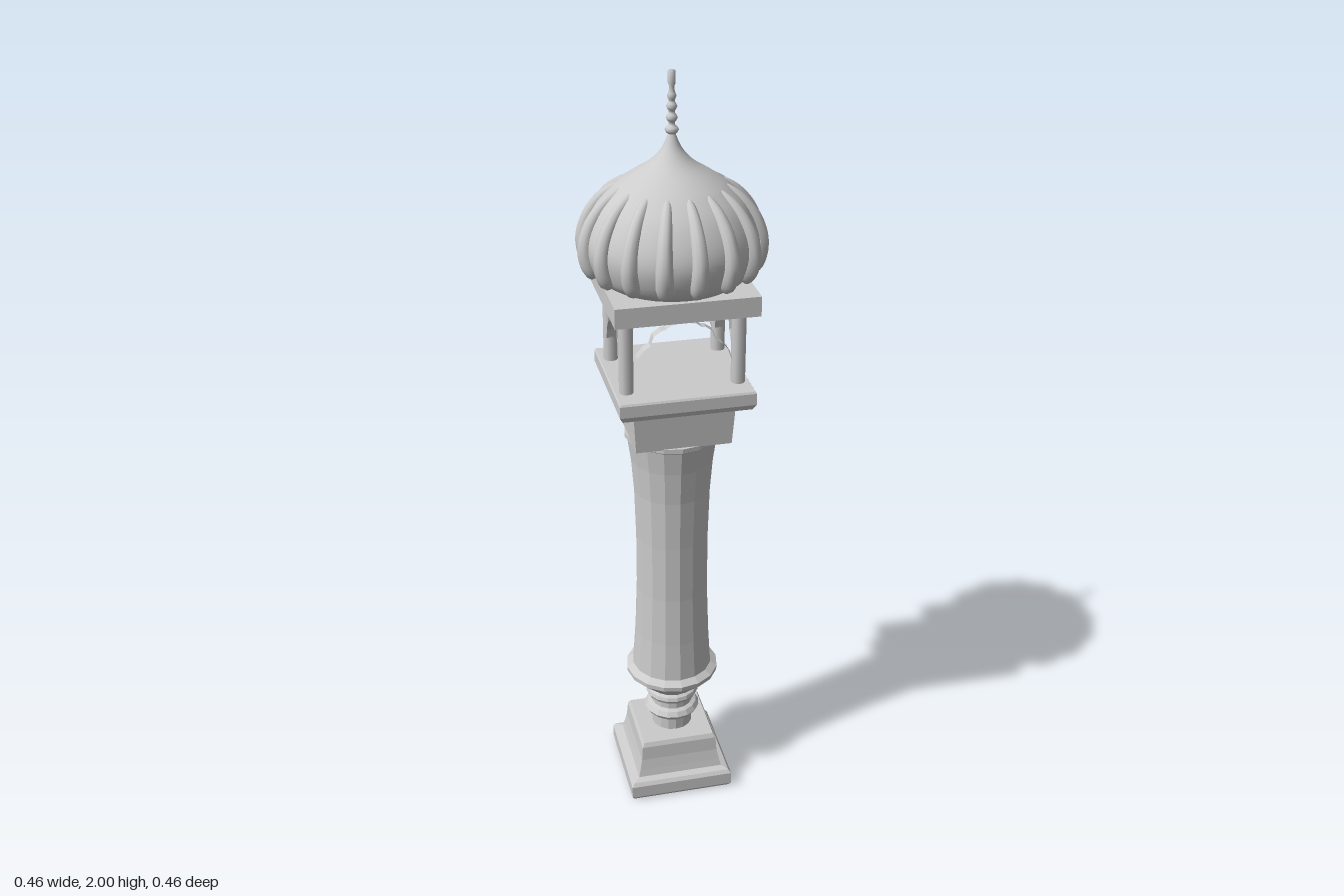
import * as THREE from 'three';

const smooth = new THREE.MeshStandardMaterial({ color: 0xcccccc, side: THREE.DoubleSide });
const flat = new THREE.MeshStandardMaterial({ color: 0xcccccc, side: THREE.DoubleSide, flatShading: true });
const v2 = (p) => p.map(([r, y]) => new THREE.Vector2(r, y));

function add(parent, name, geometry, material, x = 0, z = 0) {
  const mesh = new THREE.Mesh(geometry, material);
  mesh.name = name;
  mesh.position.set(x, 0, z);
  parent.add(mesh);
  return mesh;
}

// Square moulding: [half width, height] pairs swept around four sides
function squareLathe(points) {
  const geo = new THREE.LatheGeometry(v2(points.map(([w, y]) => [w * Math.SQRT2, y])), 4);
  return geo.rotateY(Math.PI / 4);
}

// Tube along a curve whose radius follows a rule
function taperedTube(curve, segments, sides, radiusAt) {
  const geo = new THREE.TubeGeometry(curve, segments, 1, sides);
  const pos = geo.attributes.position;
  const p = new THREE.Vector3();
  for (let i = 0; i <= segments; i++) {
    const c = curve.getPointAt(i / segments);
    for (let j = 0; j <= sides; j++) {
      const k = i * (sides + 1) + j;
      p.fromBufferAttribute(pos, k).sub(c).multiplyScalar(radiusAt(i / segments)).add(c);
      pos.setXYZ(k, p.x, p.y, p.z);
    }
  }
  geo.computeVertexNormals();
  return geo;
}

// Open ribbon following a cusped arch, spanning -half..half in x
function archRibbon(half, depth) {
  const side = [[1, 1.315], [0.93, 1.34], [0.8, 1.36], [0.66, 1.372], [0.6, 1.395], [0.45, 1.408], [0.36, 1.41], [0.25, 1.42], [0, 1.425]];
  const path = [...side.map(([x, y]) => [-x * half, y]), ...side.slice(0, -1).reverse().map(([x, y]) => [x * half, y])];
  const geo = new THREE.PlaneGeometry(1, 1, path.length - 1, 1);
  const pos = geo.attributes.position;
  for (let i = 0; i < pos.count; i++) {
    const [x, y] = path[i % path.length];
    pos.setXYZ(i, x, y, i < path.length ? -depth / 2 : depth / 2);
  }
  geo.computeVertexNormals();
  return geo;
}

export function createModel() {
  const model = new THREE.Group();
  model.name = 'tower';

  // Square foot
  add(model, 'base', squareLathe([
    [0, 0], [0.135, 0], [0.142, 0.01], [0.142, 0.045], [0.135, 0.055], [0.118, 0.06],
    [0.113, 0.08], [0.107, 0.11], [0.104, 0.15], [0.098, 0.162], [0, 0.162],
  ]), flat, -0.002, -0.001);

  // Turned neck, flared collar and shaft
  add(model, 'shaft', new THREE.LatheGeometry(v2([
    [0.056, 0.16], [0.056, 0.2], [0.068, 0.205], [0.076, 0.217], [0.068, 0.23], [0.057, 0.235],
    [0.057, 0.255], [0.068, 0.26], [0.073, 0.27], [0.07, 0.28], [0.062, 0.285], [0.075, 0.298],
    [0.125, 0.345], [0.126, 0.358], [0.108, 0.37], [0.101, 0.48], [0.096, 0.62], [0.096, 0.78],
    [0.1, 0.92], [0.107, 1.01], [0.116, 1.075], [0.123, 1.08], [0.123, 1.092], [0, 1.092],
  ]), 16), flat);

  // Square capital and balcony slab
  const cx = 0.006, cz = -0.009;
  add(model, 'capital', squareLathe([
    [0, 1.09], [0.122, 1.09], [0.128, 1.185], [0.128, 1.2], [0, 1.2],
  ]), flat, cx, cz);
  add(model, 'balconySlab', squareLathe([
    [0, 1.2], [0.162, 1.2], [0.17, 1.215], [0.17, 1.245], [0.167, 1.25], [0, 1.25],
  ]), flat, cx, cz);

  // Pavilion: four columns joined by cusped arches
  const pavilion = new THREE.Group();
  pavilion.name = 'pavilion';
  pavilion.position.set(cx, 0, cz);
  model.add(pavilion);
  const px = 0.14, pz = 0.1;
  for (const sx of [-1, 1]) {
    for (const sz of [-1, 1]) {
      const column = new THREE.CylinderGeometry(0.018, 0.018, 0.205, 10).translate(0, 1.3525, 0);
      add(pavilion, 'column', column, smooth, sx * px, sz * pz);
    }
    add(pavilion, 'longArch', archRibbon(px - 0.017, 0.025), flat, 0, sx * pz);
    add(pavilion, 'shortArch', archRibbon(pz - 0.017, 0.025), flat, sx * px, 0).rotation.y = Math.PI / 2;
  }
  add(model, 'roofSlab', new THREE.BoxGeometry(0.352, 0.05, 0.352).translate(0, 1.48, 0), flat, 0.001, -0.001);

  // Onion dome
  const domeCurve = new THREE.SplineCurve(v2([
    [0.163, 1.505], [0.194, 1.53], [0.212, 1.585], [0.206, 1.635], [0.178, 1.69], [0.14, 1.73],
    [0.103, 1.757], [0.055, 1.788], [0.025, 1.82], [0.009, 1.855],
  ]));
  add(model, 'dome', new THREE.LatheGeometry(domeCurve.getPoints(40), 40), smooth);

  // Swollen ribs around the dome
  const ribCurve = new THREE.CatmullRomCurve3([
    [0.185, 1.525], [0.2, 1.545], [0.212, 1.595], [0.2, 1.65], [0.168, 1.698], [0.118, 1.738],
  ].map(([r, y]) => new THREE.Vector3(r, y, 0)));
  const ribRadius = (t) => (0.024 - 0.012 * t) * Math.sqrt(Math.max(0, 1 - Math.pow(Math.abs(2 * t - 1), 8)));
  const ribGeometry = taperedTube(ribCurve, 28, 10, ribRadius);
  for (let i = 0; i < 16; i++) {
    add(model, 'domeRib', ribGeometry, smooth).rotation.y = (i * Math.PI) / 8 + 0.09;
  }

  // Beaded finial
  const finial = [[0.01, 1.845]];
  for (const [y, r] of [[1.865, 0.017], [1.893, 0.014], [1.919, 0.013], [1.943, 0.011]]) {
    finial.push([0.007, y - 0.011], [r * 0.8, y - 0.006], [r, y], [r * 0.8, y + 0.006], [0.007, y + 0.011]);
  }
  finial.push([0.006, 1.965], [0.009, 1.972], [0.009, 2], [0, 2]);
  add(model, 'finial', new THREE.LatheGeometry(v2(finial), 14), smooth);

  return model;
}
